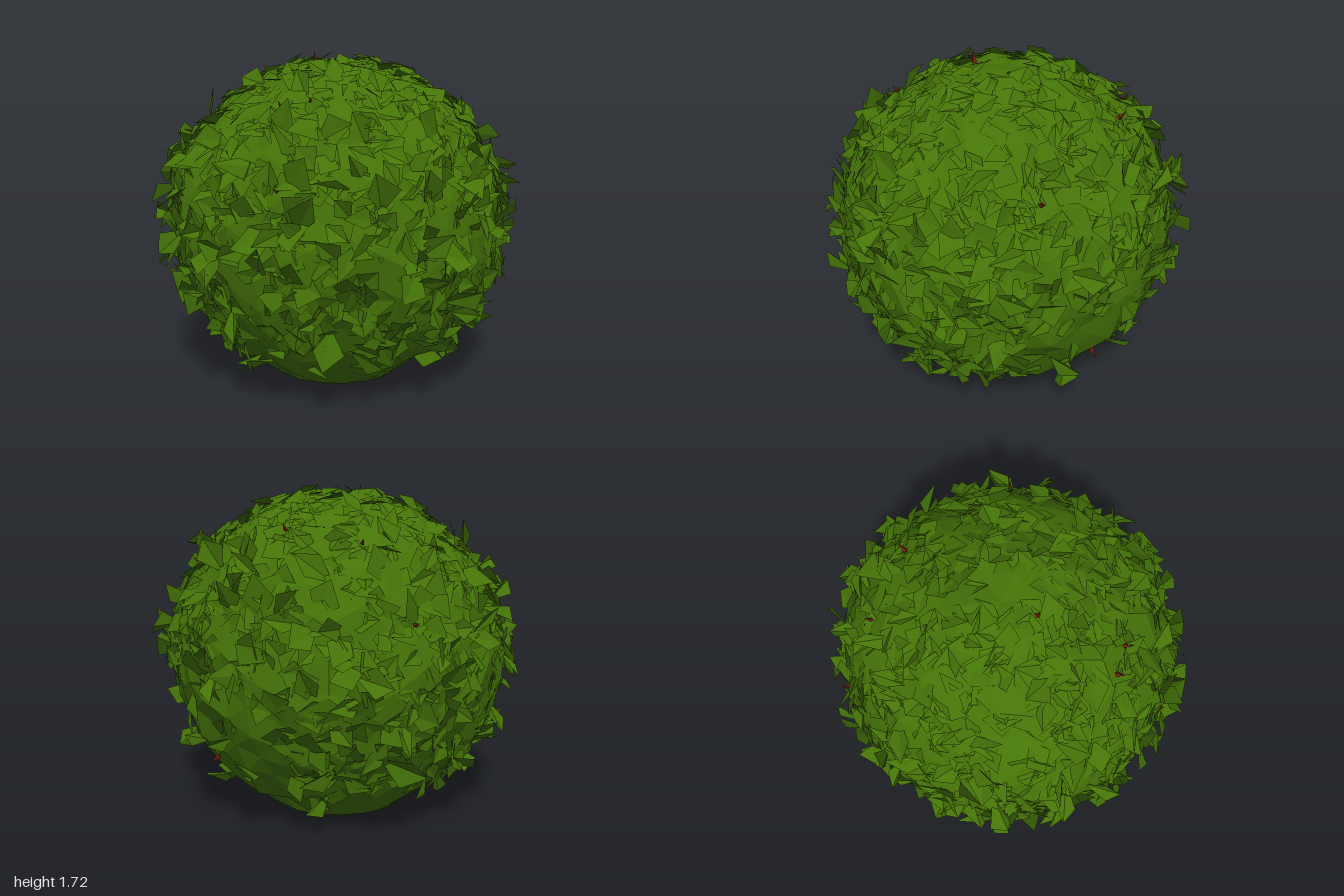
import * as THREE from 'three';

const leafGreen = new THREE.MeshStandardMaterial({ color: 0x457408, flatShading: true, side: THREE.DoubleSide });
leafGreen.name = 'leaf green';
const twigRed = new THREE.MeshStandardMaterial({ color: 0x7a2012, flatShading: true });
twigRed.name = 'twig red';

const CENTRE = 0.83, WIDE = 0.875, UP = 0.845, DOWN = 0.88;

function seeded(seed) {
  return () => {
    seed = (seed * 1664525 + 1013904223) % 4294967296;
    return seed / 4294967296;
  };
}

// Point on the rounded crown for a unit direction, lifted along it
function crownPoint(d, lift = 0) {
  const tall = d.y > 0 ? UP : DOWN;
  return new THREE.Vector3(d.x * (WIDE + lift), CENTRE + d.y * (tall + lift), d.z * (WIDE + lift));
}

// Faceted crown with a flat foot
function makeCrown() {
  const geo = new THREE.IcosahedronGeometry(1, 6);
  const pos = geo.attributes.position;
  const d = new THREE.Vector3();
  for (let i = 0; i < pos.count; i++) {
    d.fromBufferAttribute(pos, i).normalize();
    // the bump depends on direction only, so shared corners stay together
    const bump = 0.013 * Math.sin(d.x * 17 + d.y * 5) + 0.013 * Math.sin(d.z * 19 - d.y * 13 + d.x * 7);
    const p = crownPoint(d, bump);
    if (p.y < 0.07) {
      const r = Math.hypot(p.x, p.z);
      if (r > 0.25) {
        p.x *= 0.36 / r;
        p.z *= 0.36 / r;
      }
      p.y = 0;
    }
    pos.setXYZ(i, p.x, p.y, p.z);
  }
  geo.computeVertexNormals();
  const mesh = new THREE.Mesh(geo, leafGreen);
  mesh.name = 'crown';
  return mesh;
}

// Folded leaves scattered over the crown, some tips standing well out
function makeLeaves(count) {
  const rand = seeded(71);
  const corners = [];
  const bare = new THREE.Vector3(0.5, -0.55, -0.66).normalize();
  const up = new THREE.Vector3(0, 1, 0);
  const golden = Math.PI * (3 - Math.sqrt(5));
  for (let i = 0; i < count; i++) {
    const y = 0.99 - 1.74 * (i + rand()) / count;
    const r = Math.sqrt(1 - y * y);
    const a = i * golden + (rand() - 0.5) * 0.4;
    const d = new THREE.Vector3(r * Math.cos(a), y, r * Math.sin(a));
    // thinner foliage low at the back and near the foot
    if (d.dot(bare) > 0.8 && rand() < 0.85) continue;
    if (y < -0.62 && rand() < 0.4) continue;

    const side = new THREE.Vector3().crossVectors(up, d).normalize();
    const along = new THREE.Vector3().crossVectors(d, side);
    const turn = rand() * Math.PI * 2;
    const dir = along.clone().multiplyScalar(Math.cos(turn)).addScaledVector(side, Math.sin(turn));
    const across = new THREE.Vector3().crossVectors(d, dir);
    const long = 0.11 + rand() * 0.08, half = 0.035 + rand() * 0.045;
    const lift = (0.012 + 0.115 * rand() ** 3) * (y > 0.7 ? 0.5 : 1);

    // follow the curve of the crown, then add the height
    const at = (u, v, h) => {
      const n = d.clone().addScaledVector(dir, u / WIDE).addScaledVector(across, v / WIDE).normalize();
      return crownPoint(n, h);
    };
    const base = at(-long / 2, 0, -0.02);
    const tip = at(long / 2, (rand() - 0.5) * 0.06, lift);
    const left = at(0, half, rand() * lift);
    const right = at(0, -half, rand() * lift + 0.008);
    for (const p of [base, tip, left, base, right, tip]) corners.push(p.x, p.y, p.z);
  }
  const geo = new THREE.BufferGeometry();
  geo.setAttribute('position', new THREE.Float32BufferAttribute(corners, 3));
  geo.computeVertexNormals();
  const mesh = new THREE.Mesh(geo, leafGreen);
  mesh.name = 'leaves';
  return mesh;
}

// A few tiny twig ends peeping through the foliage
function makeTwigs() {
  const twigs = new THREE.Group();
  twigs.name = 'twigs';
  const geo = new THREE.ConeGeometry(0.014, 0.06, 4);
  const directions = [
    [-0.03, 0.3, 0.95], [-0.07, 0.97, 0.2], [-0.1, 0.72, 0.69], [0.06, 0.74, 0.67],
    [0.05, 0.75, -0.66], [-0.37, 0.67, -0.64], [0.76, 0.55, -0.35],
    [-0.67, 0.26, -0.69], [0.51, -0.58, -0.63],
  ];
  for (const c of directions) {
    const d = new THREE.Vector3(...c).normalize();
    const twig = new THREE.Mesh(geo, twigRed);
    twig.name = 'twig';
    twig.position.copy(crownPoint(d, 0.025));
    twig.quaternion.setFromUnitVectors(new THREE.Vector3(0, 1, 0), d);
    twigs.add(twig);
  }
  // stem ends just visible under the foot
  for (const [x, z] of [[0.16, 0.13], [0.1, 0.1]]) {
    const stem = new THREE.Mesh(new THREE.CylinderGeometry(0.018, 0.018, 0.02, 5), twigRed);
    stem.name = 'stem';
    stem.position.set(x, 0.008, z);
    twigs.add(stem);
  }
  return twigs;
}

export function createModel() {
  const bush = new THREE.Group();
  bush.name = 'bush';
  bush.add(makeCrown(), makeLeaves(1350), makeTwigs());
  return bush;
}
